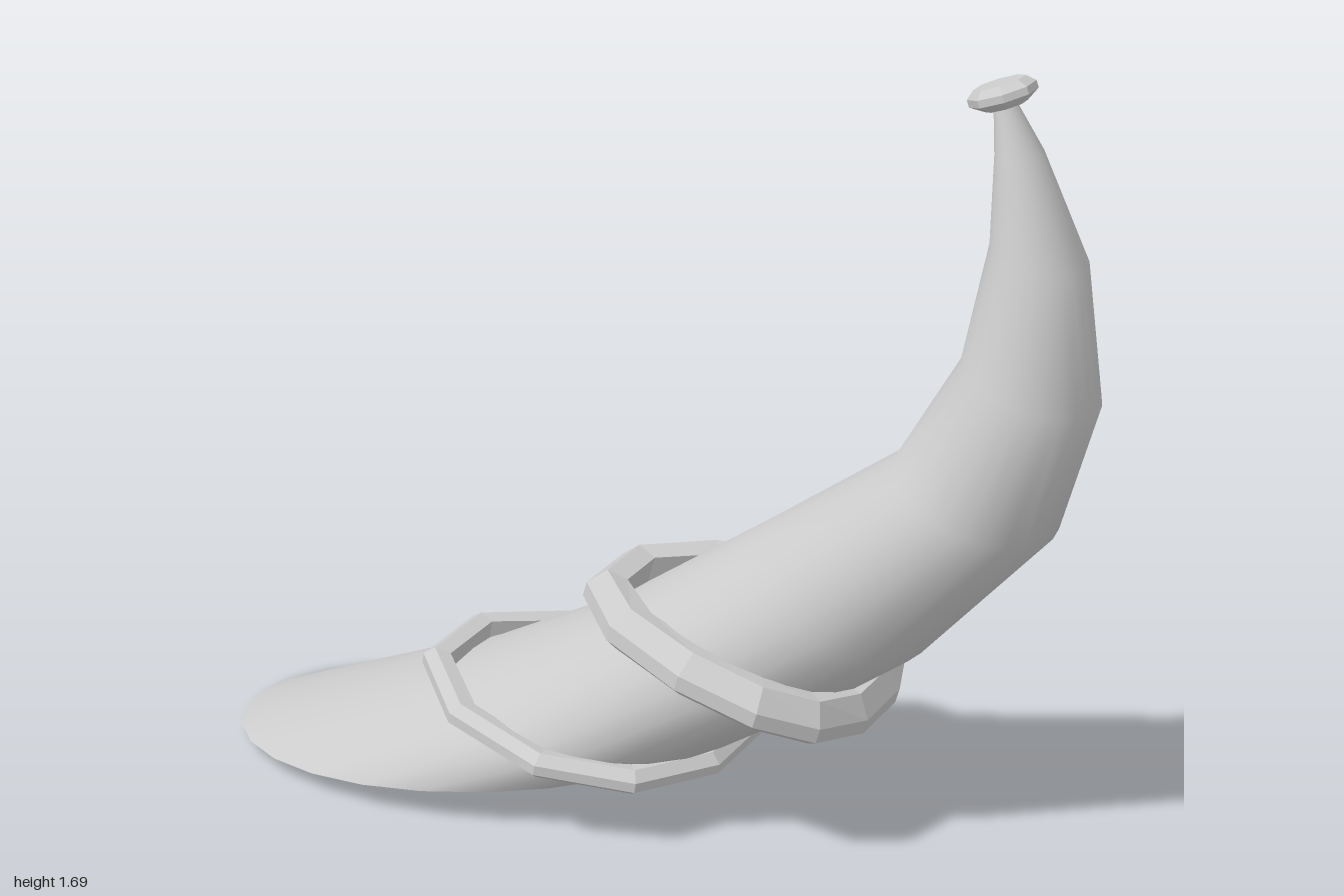
import * as THREE from 'three';

const grey = (opts = {}) => new THREE.MeshStandardMaterial({ color: 0xcccccc, ...opts });

// Oval ring through inner point a and outer point b (x, y); its sides reach cz +- hw in z.
// tilt raises the +z side, lean moves a towards +z, bow shifts both sides in x and y.
function oval({ a, b, cz, hw, tilt = 0, lean = 0, bow = [0, 0] }, n, start = 0) {
  const pts = [];
  for (let i = 0; i < n; i++) {
    const t = ((i + start) / n) * Math.PI * 2, c = Math.cos(t), s = Math.sin(t);
    pts.push(new THREE.Vector3(
      (a[0] + b[0]) / 2 + c * (a[0] - b[0]) / 2 + s * s * bow[0],
      (a[1] + b[1]) / 2 + c * (a[1] - b[1]) / 2 + s * tilt + s * s * bow[1],
      cz + s * hw + c * lean));
  }
  return pts;
}

// Skin a list of closed loops; wrap joins the last loop to the first.
function skin(rows, wrap = false) {
  const n = rows[0].length, index = [];
  for (let i = 0; i < rows.length - (wrap ? 0 : 1); i++) {
    const k = (i + 1) % rows.length;
    for (let j = 0; j < n; j++) {
      const l = (j + 1) % n;
      index.push(i * n + j, i * n + l, k * n + j, i * n + l, k * n + l, k * n + j);
    }
  }
  const g = new THREE.BufferGeometry().setFromPoints(rows.flat());
  g.setIndex(index);
  g.computeVertexNormals();
  return g;
}

// Bevelled band swept along an oval; section points are [outward, along the horn]
function band(name, ring, sides, section) {
  const path = oval(ring, sides, 0.5);
  const centre = path.reduce((s, p) => s.add(p), new THREE.Vector3()).divideScalar(path.length);
  const axis = new THREE.Vector3(ring.a[0] - ring.b[0], ring.a[1] - ring.b[1], 0)
    .cross(new THREE.Vector3(0, 0, 1)).normalize();
  const rows = section.map(([r, w]) => path.map((p) => {
    const out = p.clone().sub(centre);
    out.addScaledVector(axis, -out.dot(axis)).normalize();
    return p.clone().addScaledVector(out, r).addScaledVector(axis, w);
  }));
  const mesh = new THREE.Mesh(skin(rows, true), grey({ flatShading: true }));
  mesh.name = name;
  return mesh;
}

export function createModel() {
  const model = new THREE.Group();
  model.name = 'horn';

  // Curved horn, from the slanted base to the tip
  const stations = [
    { a: [-1, 0.012], b: [0.1, 0.11], cz: -0.006, hw: 0.376, tilt: 0.02, lean: -0.035, bow: [-0.05, -0.025] },
    { a: [-0.42, 0.245], b: [0.25, 0.18], cz: -0.003, hw: 0.322, lean: -0.015 },
    { a: [-0.08, 0.425], b: [0.45, 0.3], cz: -0.002, hw: 0.276 },
    { a: [0.27, 0.665], b: [0.65, 0.44], cz: -0.012, hw: 0.243 },
    { a: [0.58, 0.88], b: [0.925, 0.74], cz: -0.04, hw: 0.2 },
    { a: [0.71, 1.11], b: [1, 1.02], cz: -0.07, hw: 0.155 },
    { a: [0.75, 1.35], b: [0.955, 1.31], cz: -0.097, hw: 0.106 },
    { a: [0.745, 1.53], b: [0.845, 1.54], cz: -0.113, hw: 0.055 },
    { a: [0.738, 1.63], b: [0.778, 1.645], cz: -0.115, hw: 0.028 },
  ];
  const rows = stations.map((s) => oval(s, 24));
  const body = new THREE.Mesh(skin(rows), grey({ side: THREE.DoubleSide }));
  body.name = 'hornBody';
  model.add(body);

  // Base face
  const rim = rows[0], mid = new THREE.Vector3(-0.48, 0.042, -0.005);
  const fan = rim.flatMap((p, i) => [mid, rim[(i + 1) % rim.length], p]);
  const capGeo = new THREE.BufferGeometry().setFromPoints(fan);
  capGeo.computeVertexNormals();
  const cap = new THREE.Mesh(capGeo, grey());
  cap.name = 'baseFace';
  model.add(cap);

  // Bands around the horn
  model.add(
    band('lowerBand', { a: [-0.475, 0.265], b: [0.227, 0.147], cz: 0.002, hw: 0.345, bow: [0.05, -0.02] }, 10,
      [[-0.03, -0.022], [0.01, -0.028], [0.03, -0.014], [0.03, 0.008], [0.006, 0.028], [-0.03, 0.022]]),
    band('upperBand', { a: [-0.072, 0.488], b: [0.535, 0.311], cz: -0.007, hw: 0.298, bow: [0.1, 0.015] }, 12,
      [[-0.042, -0.044], [0.015, -0.05], [0.042, -0.03], [0.042, 0.004], [0.006, 0.05], [-0.042, 0.044]]));

  // Bevelled knob on the tip
  const profile = [[0, -0.026], [0.045, -0.026], [0.073, -0.008], [0.073, 0.008], [0.055, 0.024], [0, 0.024]]
    .map(([x, y]) => new THREE.Vector2(x, y));
  const knob = new THREE.Mesh(new THREE.LatheGeometry(profile, 8), grey({ flatShading: true }));
  knob.name = 'tipKnob';
  knob.position.set(0.751, 1.65, -0.124);
  knob.rotation.set(0, Math.PI / 8, 0.33, 'ZXY');
  model.add(knob);

  return model;
}
